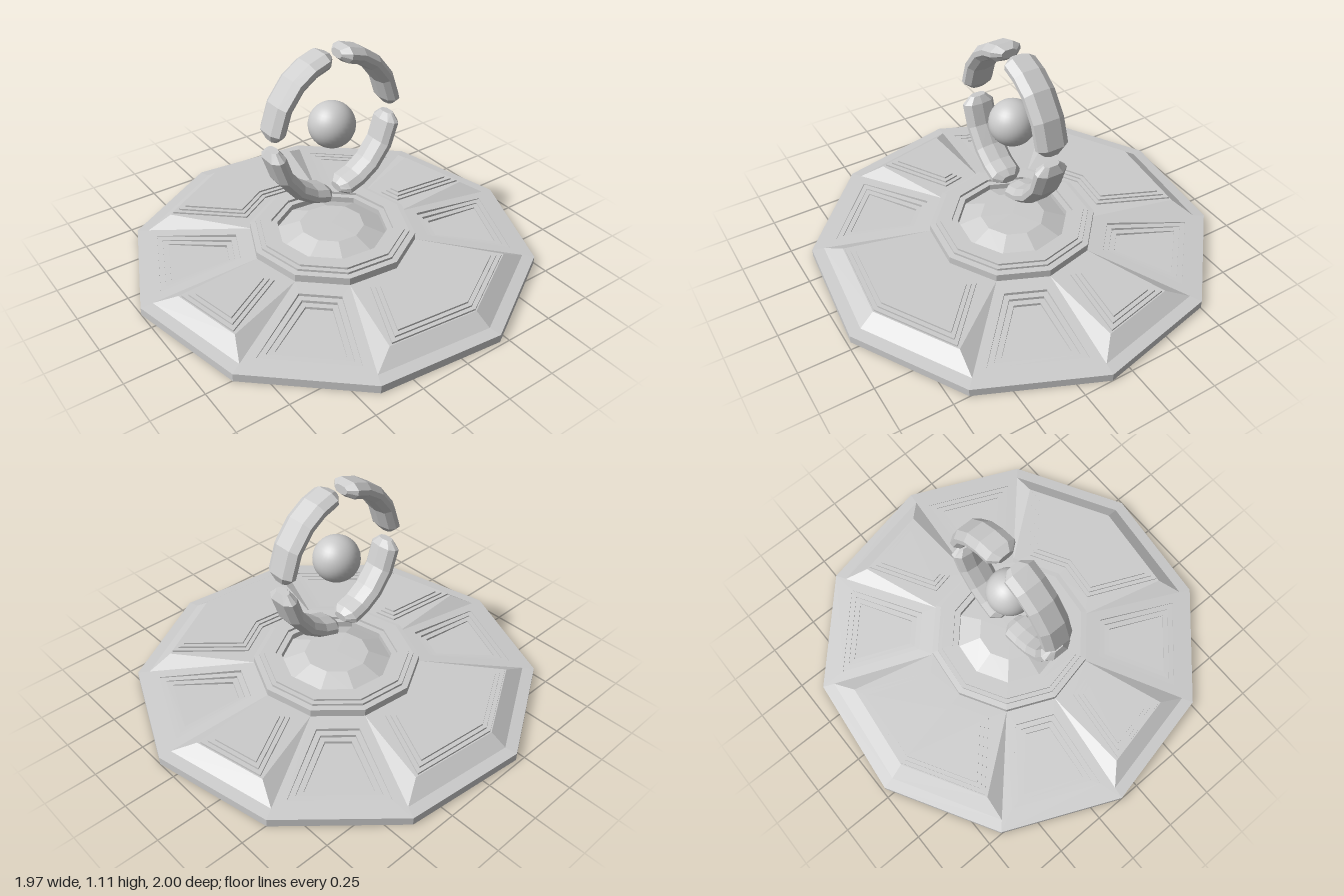
import * as THREE from 'three';

const RAD = Math.PI / 180;
const RIM = 1.0055, HUB = 0.415;              // corner radii of the ten-sided base
const APO = Math.cos(18 * RAD);
const U_RIM = RIM * APO, U_HUB = HUB * APO;   // the same as edge distances
const CY = 0.725;                             // height of the orb

const flat = new THREE.MeshStandardMaterial({ color: 0xcccccc, flatShading: true, side: THREE.DoubleSide });
const smooth = new THREE.MeshStandardMaterial({ color: 0xcccccc });

// Collects flat faces made from loops of points
class Faces {
  constructor() { this.pos = []; }
  poly(pts) {
    for (let i = 1; i < pts.length - 1; i++)
      for (const p of [pts[0], pts[i], pts[i + 1]]) this.pos.push(...p);
  }
  strip(a, b) {
    a.forEach((p, i) => {
      const j = (i + 1) % a.length;
      this.poly([p, a[j], b[j], b[i]]);
    });
  }
  mesh(name) {
    const g = new THREE.BufferGeometry();
    g.setAttribute('position', new THREE.Float32BufferAttribute(this.pos, 3));
    g.computeVertexNormals();
    return named(g, flat, name);
  }
}

function named(geometry, material, name) {
  const m = new THREE.Mesh(geometry, material);
  m.name = name;
  return m;
}

// Height of the sloping base at edge distance u
const slope = u => 0.04 + 0.06 * (U_RIM - u) / (U_RIM - U_HUB);

// Outline across n sectors: inner edge one way, outer edge back.
// dIn and dOut are the distances kept from the sector's side lines.
function outline(start, n, uIn, uOut, dIn, dOut, height) {
  const edge = (u, d) => {
    const pts = [];
    for (let i = 0; i <= n; i++) {
      const b = (start + 36 * i) * RAD;
      const end = i === 0 ? 1 : i === n ? -1 : 0;
      const m = b + end * 18 * RAD;
      const r = end ? u : u / APO;
      const v = -end * (u * Math.tan(18 * RAD) - d / APO);
      pts.push([r * Math.cos(m) - v * Math.sin(m), height(u), r * Math.sin(m) + v * Math.cos(m)]);
    }
    return pts;
  };
  return [...edge(uIn, dIn), ...edge(uOut, dOut).reverse()];
}

// Joins nested outlines and closes the last one
function terraces(loops, n, name) {
  const f = new Faces();
  for (let i = 0; i < loops.length - 1; i++) f.strip(loops[i], loops[i + 1]);
  const last = loops[loops.length - 1], k = last.length - 1;
  for (let i = 0; i < n; i++) f.poly([last[i], last[i + 1], last[k - i - 1], last[k - i]]);
  return f.mesh(name);
}

// Raised block with a steep outer face and three steps up
function raisedPanel(start, n) {
  const top = 0.1;
  const loops = [
    outline(start, n, U_HUB, U_RIM, 0, 0, slope),
    outline(start, n, U_HUB, 0.9, 0, 0, slope),
    outline(start, n, U_HUB, 0.828, 0, 0.075, u => (u > 0.5 ? top : slope(u))),
  ];
  for (let k = 0; k < 3; k++) {
    const d = 0.088 + 0.02 * k;
    for (const h of [k, k + 1])
      loops.push(outline(start, n, 0.455 + 0.02 * k, 0.822 - 0.02 * k, d, d, () => top + 0.0087 * h));
  }
  return terraces(loops, n, 'raisedPanel');
}

// Sloping sector with three steps down, deeper toward the hub
function sunkenPanel(start) {
  const loops = [outline(start, 1, U_HUB, U_RIM, 0, 0, slope)];
  for (let k = 0; k < 3; k++) {
    const d = 0.05 + 0.026 * k;
    for (const h of [k, k + 1])
      loops.push(outline(start, 1, 0.47 + 0.026 * k, 0.86 - 0.026 * k, d, d,
        u => slope(u) - h * (0.004 + 0.026 * (0.86 - u))));
  }
  return terraces(loops, 1, 'sunkenPanel');
}

// Ten-sided turned part, lined up with the base corners
function turned(points, name) {
  const pts = points.map(p => new THREE.Vector2(p[0], p[1]));
  return named(new THREE.LatheGeometry(pts, 10, 30 * RAD, Math.PI * 2), flat, name);
}

// Faceted quarter of the upright ring, tapered at both ends
function ringSegment(quarter) {
  const section = [[0, -0.042], [0.055, -0.034], [0.078, -0.008], [0.078, 0.016],
    [0.042, 0.04], [-0.042, 0.04], [-0.078, 0.016], [-0.078, -0.008], [-0.055, -0.034]];
  const stops = [[4.5, 0.5], [10.5, 1], [30, 1], [50, 1], [66, 1], [79.5, 1], [85.5, 0.5]];
  const loops = stops.map(([deg, s]) => {
    const t = ((quarter % 2 ? 90 - deg : deg) + 90 * quarter) * RAD;
    return section.map(([x, r]) => [x * s,
      CY + (0.355 + r * s) * Math.sin(t), (0.328 + r * s) * Math.cos(t)]);
  });
  if (quarter % 2) loops.reverse();
  const f = new Faces();
  for (let i = 0; i < loops.length - 1; i++) f.strip(loops[i + 1], loops[i]);
  f.poly(loops[0]);
  f.poly([...loops[loops.length - 1]].reverse());
  return f.mesh('ringSegment');
}

export function createModel() {
  const model = new THREE.Group();
  model.name = 'pedestalWithFloatingRing';

  // Base: rim and panels, the second half turned half way round
  const base = new THREE.Group();
  base.name = 'base';
  base.add(turned([[RIM, 0], [RIM, 0.04]], 'rim'));
  for (const turn of [0, 180]) {
    base.add(raisedPanel(-48 + turn, 2));
    base.add(sunkenPanel(24 + turn));
    base.add(raisedPanel(60 + turn, 1));
    base.add(sunkenPanel(96 + turn));
  }
  model.add(base);

  // Hub: stepped collar, groove and low dome
  model.add(turned([[HUB, 0.1], [HUB, 0.138], [0.385, 0.14], [0.385, 0.151], [0.362, 0.151], [0.362, 0.161],
    [0.305, 0.161], [0.305, 0.148], [0.275, 0.148], [0.275, 0.118]], 'hubCollar'));
  model.add(turned([[0.275, 0.118], [0.16, 0.166], [0, 0.168]], 'hubDome'));

  // Floating ring and orb
  const ring = new THREE.Group();
  ring.name = 'ring';
  for (let q = 0; q < 4; q++) ring.add(ringSegment(q));
  model.add(ring);

  const orb = named(new THREE.SphereGeometry(0.113, 32, 20), smooth, 'orb');
  orb.position.y = CY;
  model.add(orb);

  return model;
}
